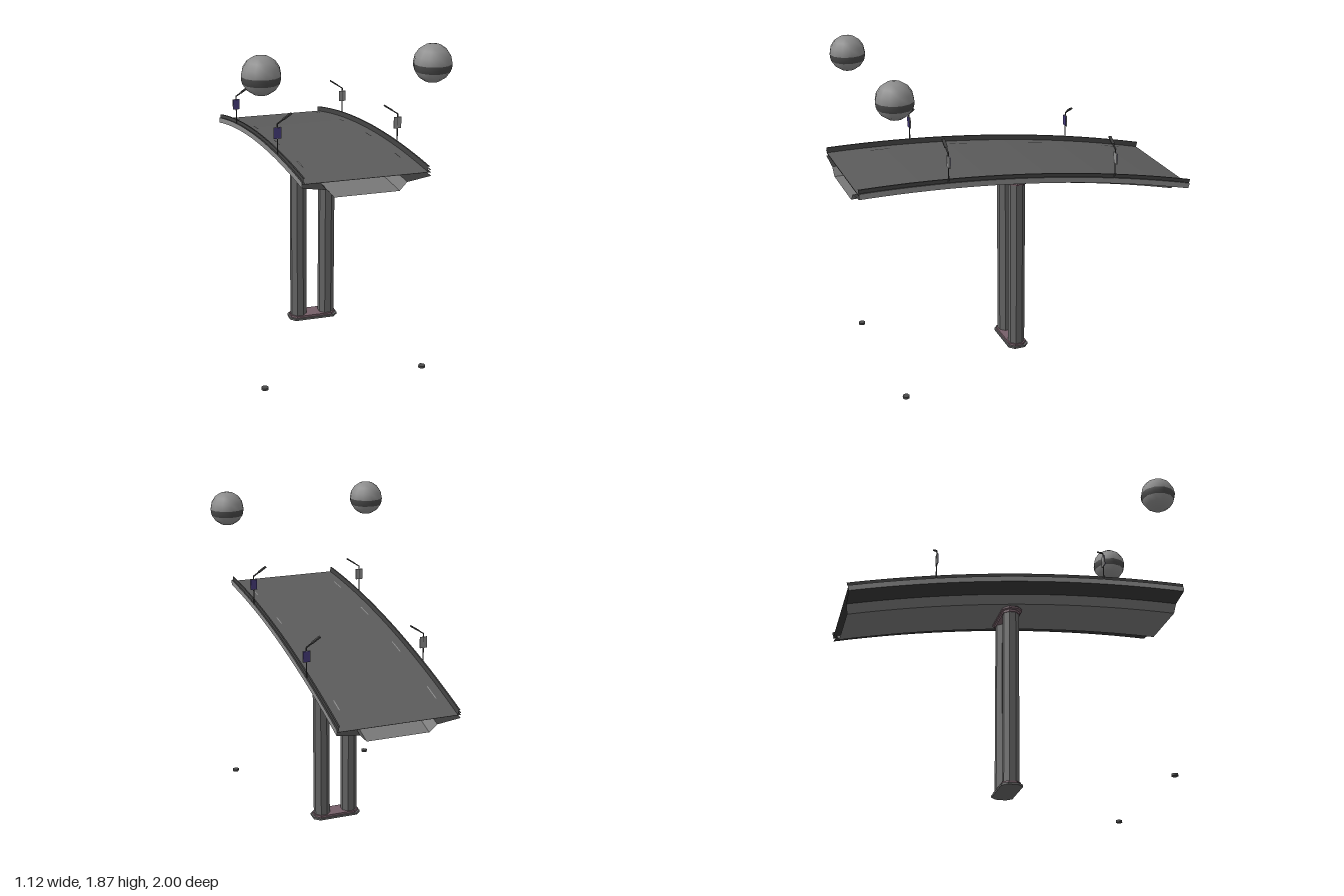
import * as THREE from 'three';

const mat = (name, color, side = THREE.FrontSide) => {
  const m = new THREE.MeshStandardMaterial({ color, side });
  m.name = name;
  return m;
};

// The deck bends about an axis far below its front end
const R = 8.1, TOP = 1.273, CY = TOP - R, CX = 0.045;
const T_END = Math.asin(2 / R);
const angleAt = z => Math.asin((1 - z) / R);
const dropAt = z => R * (1 - Math.cos(angleAt(z)));

// Sweeps an open profile of [x, y] points along the arc, one strip per edge.
// The surface faces to the left of the profile's direction.
function sweep(profile, t0 = 0, t1 = T_END, steps = 20) {
  const pos = [], idx = [];
  for (let e = 0; e < profile.length - 1; e++) {
    const base = pos.length / 3;
    for (let i = 0; i <= steps; i++) {
      const t = t0 + (t1 - t0) * i / steps;
      for (const [x, y] of [profile[e], profile[e + 1]]) {
        const r = y - CY;
        pos.push(CX + x, CY + r * Math.cos(t), 1 - r * Math.sin(t));
      }
      if (i < steps) {
        const a = base + i * 2;
        idx.push(a, a + 1, a + 3, a, a + 3, a + 2);
      }
    }
  }
  const g = new THREE.BufferGeometry();
  g.setAttribute('position', new THREE.Float32BufferAttribute(pos, 3));
  g.setIndex(idx);
  g.computeVertexNormals();
  return g;
}
const mirror = p => p.map(([x, y]) => [-x, y]).reverse();

// Horizontal slab with cut corners, bottom at y
function slab(hx, hz, cut, y, h) {
  const s = new THREE.Shape([
    [hx, -hz + cut], [hx, hz - cut], [hx - cut, hz], [-hx + cut, hz],
    [-hx, hz - cut], [-hx, -hz + cut], [-hx + cut, -hz], [hx - cut, -hz],
  ].map(([x, z]) => new THREE.Vector2(x, z)));
  return new THREE.ExtrudeGeometry(s, { depth: h, bevelEnabled: false })
    .rotateX(-Math.PI / 2).translate(CX, y, 0);
}

export function createModel() {
  const root = new THREE.Group();
  const asphalt = mat('asphalt', 0x5c5c5c);
  const darkUnderside = mat('dark underside', 0x383838, THREE.DoubleSide);
  const girderGrey = mat('girder grey', 0x787878, THREE.DoubleSide);
  const paleConcrete = mat('pale concrete', 0x8c8c8c);
  const pillarGrey = mat('pillar grey', 0x666666);
  const mauve = mat('mauve plate', 0x755f68);
  const bandGrey = mat('band grey', 0x4a4a4a);
  const purple = mat('sign purple', 0x443a78);
  const darkMetal = mat('dark metal', 0x424242);

  const add = (name, geo, material, parent = root) => {
    const m = new THREE.Mesh(geo, material);
    m.name = name;
    parent.add(m);
    return m;
  };

  // Road surface and hollow girder
  add('roadSurface', sweep([[-0.33, 1.244], [0.33, 1.244]]), asphalt);
  add('roadUnderside', sweep([[0.345, 1.24], [-0.345, 1.24]]), darkUnderside);
  const flange = [[0.345, 1.22], [0.215, 1.2]];
  add('leftFlange', sweep(flange), darkUnderside);
  add('rightFlange', sweep(mirror(flange)), darkUnderside);
  add('boxGirder', sweep([[0.215, 1.2], [0.175, 1.155], [-0.175, 1.155], [-0.215, 1.2]]), girderGrey);

  // Stepped parapets on both edges
  const fascia = [[0.345, 1.252], [0.345, 1.22]];
  const rail = [[0.326, 1.244], [0.329, 1.273], [0.337, 1.273], [0.337, 1.252], [0.345, 1.252]];
  for (const [side, f] of [['left', p => p], ['right', mirror]]) {
    add(side + 'Fascia', sweep(f(fascia)), paleConcrete);
    add(side + 'Parapet', sweep(f(rail)), darkMetal);
  }

  // Broken lane lines
  for (const [x, len] of [[-0.27, 0.12], [0.27, 0.09]])
    for (const z of [0.7, 0.215, -0.285, -0.785])
      add('laneDash', sweep([[x - 0.003, 1.247], [x + 0.003, 1.247]],
        angleAt(z + len / 2), angleAt(z - len / 2), 3), paleConcrete);

  // Twin eight-sided pillars
  for (const x of [-0.087, 0.087]) {
    const g = new THREE.CylinderGeometry(0.049, 0.049, 1.05, 8).toNonIndexed();
    g.rotateY(Math.PI / 8).translate(CX + x, 0.54, 0);
    g.computeVertexNormals();
    add('pillar', g, pillarGrey);
  }
  // Stepped foot and head plates
  add('footPlate', slab(0.148, 0.062, 0.03, 0, 0.012), pillarGrey);
  add('footStep', slab(0.138, 0.054, 0.03, 0.012, 0.013), mauve);
  add('headStep', slab(0.138, 0.05, 0.03, 1.062, 0.014), mauve);
  add('headPlate', slab(0.158, 0.06, 0.035, 1.076, 0.012), mauve);
  add('headPad', slab(0.148, 0.056, 0.03, 1.088, 0.008), pillarGrey);

  // Street lamps with road signs, arms leaning over the road
  for (const s of [-1, 1]) for (const z of [0.5, -0.5]) {
    const lamp = new THREE.Group();
    lamp.name = s > 0 ? 'leftLamp' : 'rightLamp';
    lamp.position.set(CX + s * 0.34, 1.25 - dropAt(z), z);
    add('lampPost', new THREE.CylinderGeometry(0.0035, 0.0035, 0.185, 6).translate(0, 0.0825, 0), darkMetal, lamp);
    const arm = add('lampArm', new THREE.BoxGeometry(0.095, 0.006, 0.008), darkMetal, lamp);
    arm.position.set(-s * 0.04, 0.2, 0);
    arm.rotation.z = -s * 0.58;
    const head = add('lampHead', new THREE.BoxGeometry(0.055, 0.008, 0.017), darkMetal, lamp);
    head.position.set(-s * 0.055, 0.211, 0);
    head.rotation.z = -s * 0.58;
    // Each sign faces the traffic on its own side
    add('signBack', new THREE.BoxGeometry(0.042, 0.064, 0.006).translate(0, 0.123, 0), paleConcrete, lamp);
    add('signFace', new THREE.BoxGeometry(0.038, 0.06, 0.003).translate(0, 0.123, -s * 0.0045), purple, lamp);
    root.add(lamp);
  }

  // Floating balls with a dark band, and their ground markers
  const band = Math.PI / 8;
  for (const x of [-0.455, 0.455]) {
    const ball = new THREE.Group();
    ball.name = 'floatingBall';
    ball.position.set(x, 1.765, 0.805);
    const part = (name, start, len, rows, m) =>
      add(name, new THREE.SphereGeometry(0.103, 12, rows, 0, Math.PI * 2, start, len), m, ball);
    part('ballTop', 0, Math.PI / 2, 4, paleConcrete);
    part('ballBand', Math.PI / 2, band, 1, bandGrey);
    part('ballBottom', Math.PI / 2 + band, Math.PI / 2 - band, 3, paleConcrete);
    root.add(ball);
    add('groundMarker', new THREE.CylinderGeometry(0.02, 0.02, 0.013, 8).translate(x, 0.0065, 0.805), bandGrey);
  }
  return root;
}
